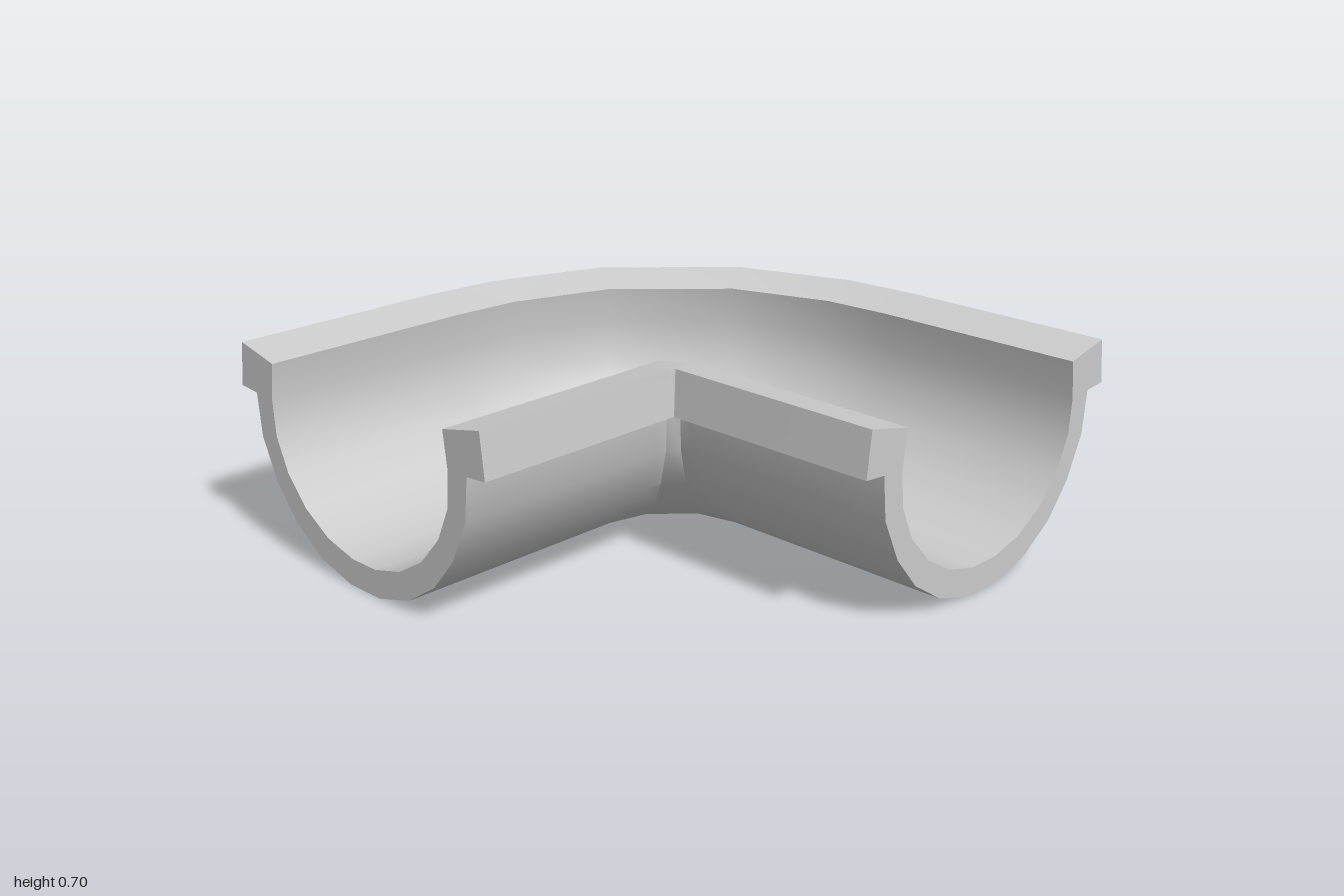
import * as THREE from 'three';
import { toCreasedNormals } from 'three/addons/utils/BufferGeometryUtils.js';

// Half profile as [offset from centre line, height]
const outerHalf = [[0.597, 0.697], [0.615, 0.545], [0.533, 0.538], [0.518, 0.39], [0.45, 0.243],
  [0.355, 0.128], [0.225, 0.042], [0.075, 0]];
const innerHalf = [[0.43, 0.66], [0.447, 0.532], [0.437, 0.41], [0.386, 0.296], [0.298, 0.196],
  [0.185, 0.127], [0.058, 0.094]];

const RADIUS = 0.617;   // bend radius of the centre line
const PIVOT = 0.232;    // bend pivot at x = -PIVOT, z = PIVOT
const left = (pts) => pts.map(([x, y]) => [RADIUS - x, y]);
const right = (pts) => pts.map(([x, y]) => [RADIUS + x, y]);

// Stations along the channel: [angle, radial swell, straight run]
const run = 1 - PIVOT;
const stations = [[0, 0, -run], [0, 0, 0], [13, 0.01, 0], [33, 0.036, 0],
  [57, 0.036, 0], [77, 0.01, 0], [90, 0, 0], [90, 0, run]];

function channelGeometry() {
  // Closed counter-clockwise section: outside left to right, inside back again
  const section = [
    ...left(outerHalf), ...right(outerHalf).reverse(),
    ...right(innerHalf), ...left(innerHalf).reverse(),
  ];
  const n = section.length;
  const positions = [];
  const indices = [];
  for (const [degrees, swell, along] of stations) {
    const a = THREE.MathUtils.degToRad(degrees);
    const s = Math.sin(a), c = Math.cos(a);
    for (const [r, y] of section) {
      const rr = r + swell * Math.min(1, r / 0.2);
      positions.push(-PIVOT + rr * s + along * c, y, PIVOT - rr * c + along * s);
    }
  }
  // Skin between stations
  for (let i = 0; i < stations.length - 1; i++) {
    for (let j = 0; j < n; j++) {
      const k = (j + 1) % n;
      const a = i * n + j, b = i * n + k, c = b + n, d = a + n;
      indices.push(a, b, c, a, c, d);
    }
  }
  // Flat end faces
  const contour = section.map(([x, y]) => new THREE.Vector2(x, y));
  const last = (stations.length - 1) * n;
  for (const [a, b, c] of THREE.ShapeUtils.triangulateShape(contour, [])) {
    indices.push(a, c, b, last + a, last + b, last + c);
  }
  const geometry = new THREE.BufferGeometry();
  geometry.setAttribute('position', new THREE.Float32BufferAttribute(positions, 3));
  geometry.setIndex(indices);
  return toCreasedNormals(geometry, 0.62);
}

export function createModel() {
  const group = new THREE.Group();
  group.name = 'gutterCorner';
  const channel = new THREE.Mesh(
    channelGeometry(),
    new THREE.MeshStandardMaterial({ color: 0xcccccc }),
  );
  channel.name = 'curvedChannel';
  group.add(channel);
  return group;
}
